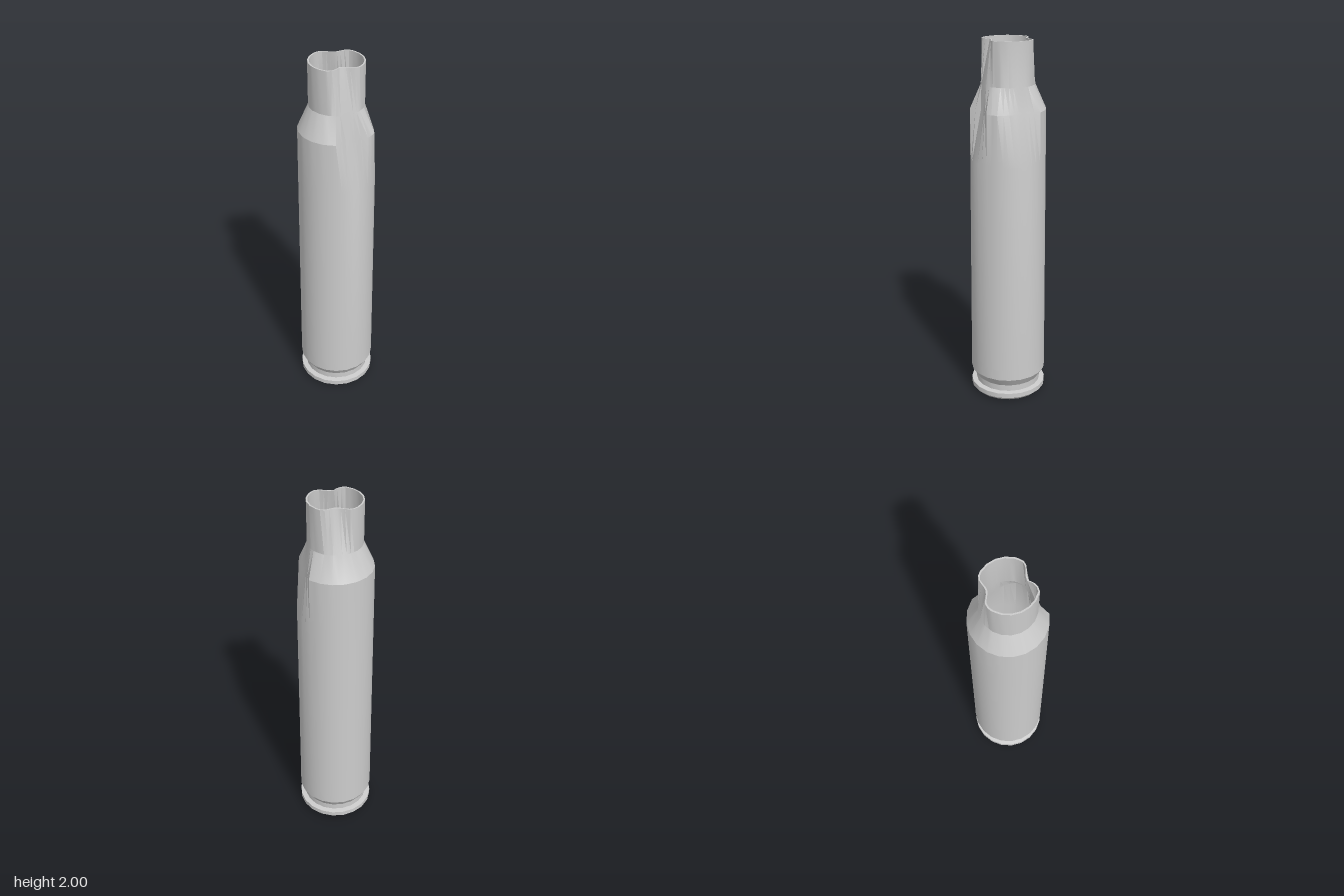
import * as THREE from 'three';
import { toCreasedNormals } from 'three/addons/utils/BufferGeometryUtils.js';

const SEG = 40; // twenty flat sides, each split once so the dents can bend

// Inward dents: first step around the ring, then depths at successive steps
const mouthDents = [
  [-2, [0.003, 0.012, 0.03, 0.042, 0.047, 0.046, 0.026, 0.008]],
  [20, [0.008, 0.022, 0.036, 0.039, 0.038, 0.025, 0.01]],
];
const shoulderDents = [
  [-11, [0.015, 0.03, 0.033, 0.035, 0.025, 0.015, 0.007]],
  [-2, [0.003, 0.024, 0.045, 0.05, 0.05, 0.025]],
];

function dentDepth(dents, i) {
  let depth = 0;
  for (const [start, values] of dents) depth += values[(i - start + 2 * SEG) % SEG] ?? 0;
  return depth;
}

// Sweeps rings [y, radius, dents] around the y axis
function ringSurface(rings, crease) {
  const point = ([y, r, dents = []], i) => {
    const k = i % SEG;
    const a = (k / SEG) * Math.PI * 2;
    const side = k % 2 ? Math.cos(Math.PI / 20) : 1;
    const rad = r * side - dentDepth(dents, k);
    return [rad * Math.cos(a), y, rad * Math.sin(a)];
  };
  const pos = [];
  for (let j = 0; j < rings.length - 1; j++) {
    const lo = rings[j], hi = rings[j + 1];
    for (let i = 0; i < SEG; i++) {
      const a = point(lo, i), b = point(hi, i), c = point(hi, i + 1), d = point(lo, i + 1);
      if (hi[1] > 0) pos.push(...a, ...b, ...c);
      if (lo[1] > 0) pos.push(...a, ...c, ...d);
    }
  }
  const geo = new THREE.BufferGeometry();
  geo.setAttribute('position', new THREE.Float32BufferAttribute(pos, 3));
  return toCreasedNormals(geo, crease);
}

export function createModel() {
  const group = new THREE.Group();
  group.name = 'casing';
  const material = new THREE.MeshStandardMaterial({ color: 0xcccccc });
  const add = (name, rings) => {
    const mesh = new THREE.Mesh(ringSurface(rings, 0.4), material);
    mesh.name = name;
    group.add(mesh);
  };

  // Rim, extractor groove and the flare up to the body
  add('rimAndGroove', [
    [0, 0], [0, 0.19], [0.02, 0.211], [0.047, 0.211], [0.05, 0.182],
    [0.085, 0.182], [0.132, 0.211],
  ]);

  // Tapered body, dented shoulder and crumpled neck
  add('bodyAndNeck', [
    [0.132, 0.211], [0.2, 0.21], [1.37, 0.202], [1.64, 0.2, shoulderDents],
    [1.77, 0.142], [2, 0.142, mouthDents],
  ]);

  // Mouth lip, inner wall and floor
  add('lipAndInside', [
    [2, 0.142, mouthDents], [2, 0.134, mouthDents], [1.77, 0.134],
    [1.64, 0.19, shoulderDents], [1.37, 0.192], [0.2, 0.195], [0.2, 0],
  ]);

  return group;
}
